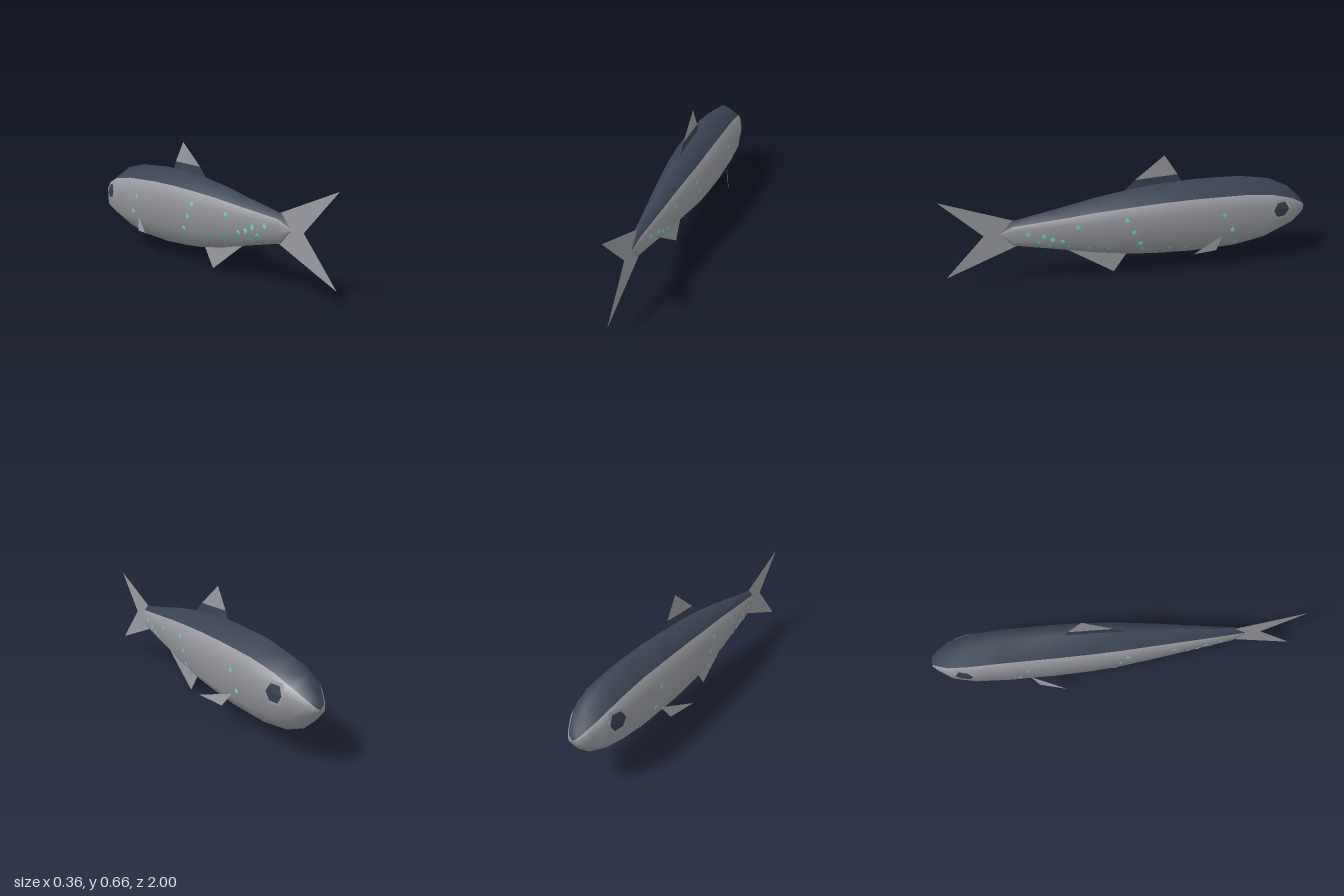
import * as THREE from 'three';

const mat = (name, color, side = THREE.FrontSide) => {
  const m = new THREE.MeshStandardMaterial({ color, side });
  m.name = name;
  return m;
};

// Body stations: z, top y, bottom y, half width
const STATIONS = [
  [-1, 0.294, 0.294, 0], [-0.995, 0.32, 0.265, 0.03], [-0.97, 0.35, 0.232, 0.05],
  [-0.9, 0.417, 0.17, 0.092], [-0.78, 0.476, 0.115, 0.114], [-0.6, 0.507, 0.083, 0.118],
  [-0.34, 0.513, 0.077, 0.118], [-0.15, 0.505, 0.087, 0.112], [0, 0.49, 0.1, 0.102],
  [0.2, 0.46, 0.134, 0.08], [0.42, 0.415, 0.183, 0.053], [0.64, 0.373, 0.23, 0.026],
  [0.71, 0.302, 0.302, 0],
];
// Half cross-section from back ridge to belly: x factor, y factor
const SECTION = [[0, 1], [0.8, 0.64], [1, 0.32], [0.95, -0.46], [0, -1]];

// Body half width at a given z and y
function surfaceX(z, y) {
  let i = 0;
  while (i < STATIONS.length - 2 && STATIONS[i + 1][0] < z) i++;
  const a = STATIONS[i], b = STATIONS[i + 1];
  const t = (z - a[0]) / (b[0] - a[0]);
  const [, top, bottom, w] = a.map((v, k) => v + (b[k] - v) * t);
  const v = THREE.MathUtils.clamp((y - (top + bottom) / 2) / ((top - bottom) / 2), -1, 1);
  let j = 0;
  while (j < SECTION.length - 2 && SECTION[j + 1][1] > v) j++;
  const p = SECTION[j], q = SECTION[j + 1];
  return w * (p[0] + (q[0] - p[0]) * (v - p[1]) / (q[1] - p[1]));
}

function bodyGeometry() {
  const ring = [...SECTION, ...SECTION.slice(1, -1).reverse().map(([x, y]) => [-x, y])];
  const n = ring.length, pos = [], back = [], flank = [];
  for (const [z, top, bottom, w] of STATIONS)
    for (const [x, y] of ring) pos.push(x * w, (top + bottom) / 2 + y * (top - bottom) / 2, z);
  for (let i = 0; i < STATIONS.length - 1; i++)
    for (let j = 0; j < n; j++) {
      const a = i * n + j, b = i * n + (j + 1) % n;
      (j === 0 || j === n - 1 ? back : flank).push(a, a + n, b + n, a, b + n, b);
    }
  const g = new THREE.BufferGeometry();
  g.setAttribute('position', new THREE.Float32BufferAttribute(pos, 3));
  g.setIndex([...back, ...flank]);
  g.addGroup(0, back.length, 0);
  g.addGroup(back.length, flank.length, 1);
  g.computeVertexNormals();
  return g;
}

// Flat fan through the given 3D points, starting at the first one
function fan(points) {
  const pos = [];
  for (let i = 1; i < points.length - 1; i++) pos.push(...points[0], ...points[i], ...points[i + 1]);
  const g = new THREE.BufferGeometry();
  g.setAttribute('position', new THREE.Float32BufferAttribute(pos, 3));
  g.computeVertexNormals();
  return g;
}

// Thin polygon lying on the flank
function patch(side, z, y, rz, ry, sides, lift) {
  const at = (pz, py) => [side * (surfaceX(pz, py) + lift), py, pz];
  const pts = [at(z, y)];
  for (let i = 0; i <= sides; i++) {
    const a = -side * i / sides * Math.PI * 2;
    pts.push(at(z + rz * Math.cos(a), y + ry * Math.sin(a)));
  }
  return fan(pts);
}

export function createModel() {
  const model = new THREE.Group();
  const back = mat('dark back', 0x3a4354);
  const silver = mat('silver flank', 0x999ba1);
  const fin = mat('grey fin', 0x999ba1, THREE.DoubleSide);
  const finBase = mat('dark fin base', 0x3a4354, THREE.DoubleSide);
  const pupil = mat('dark eye', 0x363f4d, THREE.DoubleSide);
  const teal = mat('teal spot', 0x72d4c4, THREE.DoubleSide);
  const add = (name, geometry, material, parent = model) => {
    const m = new THREE.Mesh(geometry, material);
    m.name = name;
    parent.add(m);
  };
  const flat = (pts) => fan(pts.map(([z, y]) => [0, y, z]));

  add('body', bodyGeometry(), [back, silver]);

  // Fins on the centre line
  add('tailFinUpper', flat([[0.6, 0.302], [0.79, 0.302], [1, 0.513], [0.62, 0.37]]), fin);
  add('tailFinLower', flat([[0.6, 0.302], [0.62, 0.228], [1, 0.08], [0.79, 0.302]]), fin);
  add('dorsalFin', flat([[-0.015, 0.538], [-0.175, 0.663], [-0.25, 0.55]]), fin);
  add('dorsalFinBase', flat([[0.05, 0.475], [-0.015, 0.538], [-0.25, 0.55], [-0.275, 0.5]]), finBase);
  add('analFin', flat([[0.36, 0.172], [0.03, 0.11], [0.105, 0.003]]), fin);

  // Spots: z, y
  const spots = [
    [0.565, 0.305], [0.485, 0.288], [0.44, 0.267], [0.515, 0.25], [0.455, 0.224],
    [0.39, 0.25], [0.355, 0.212], [0.305, 0.33], [0.245, 0.192], [0.14, 0.18],
    [0.05, 0.352], [0.013, 0.283], [-0.02, 0.213], [-0.04, 0.16], [-0.195, 0.15],
    [-0.295, 0.138], [-0.44, 0.137], [-0.585, 0.137], [-0.485, 0.335], [-0.535, 0.243],
  ];
  for (const [label, s] of [['left', 1], ['right', -1]]) {
    add(label + 'PectoralFin', fan([[s * 0.11, 0.21, -0.485], [s * 0.18, 0.152, -0.295], [s * 0.138, 0.138, -0.44]]), fin);
    add(label + 'EyeRing', patch(s, -0.82, 0.33, 0.062, 0.06, 6, 0.005), fin);
    add(label + 'Eye', patch(s, -0.82, 0.33, 0.048, 0.046, 6, 0.009), pupil);
    const group = new THREE.Group();
    group.name = label + 'Spots';
    for (const [z, y] of spots) add('spot', patch(s, z, y, 0.015, 0.016, 4, 0.004), teal, group);
    model.add(group);
  }
  return model;
}
